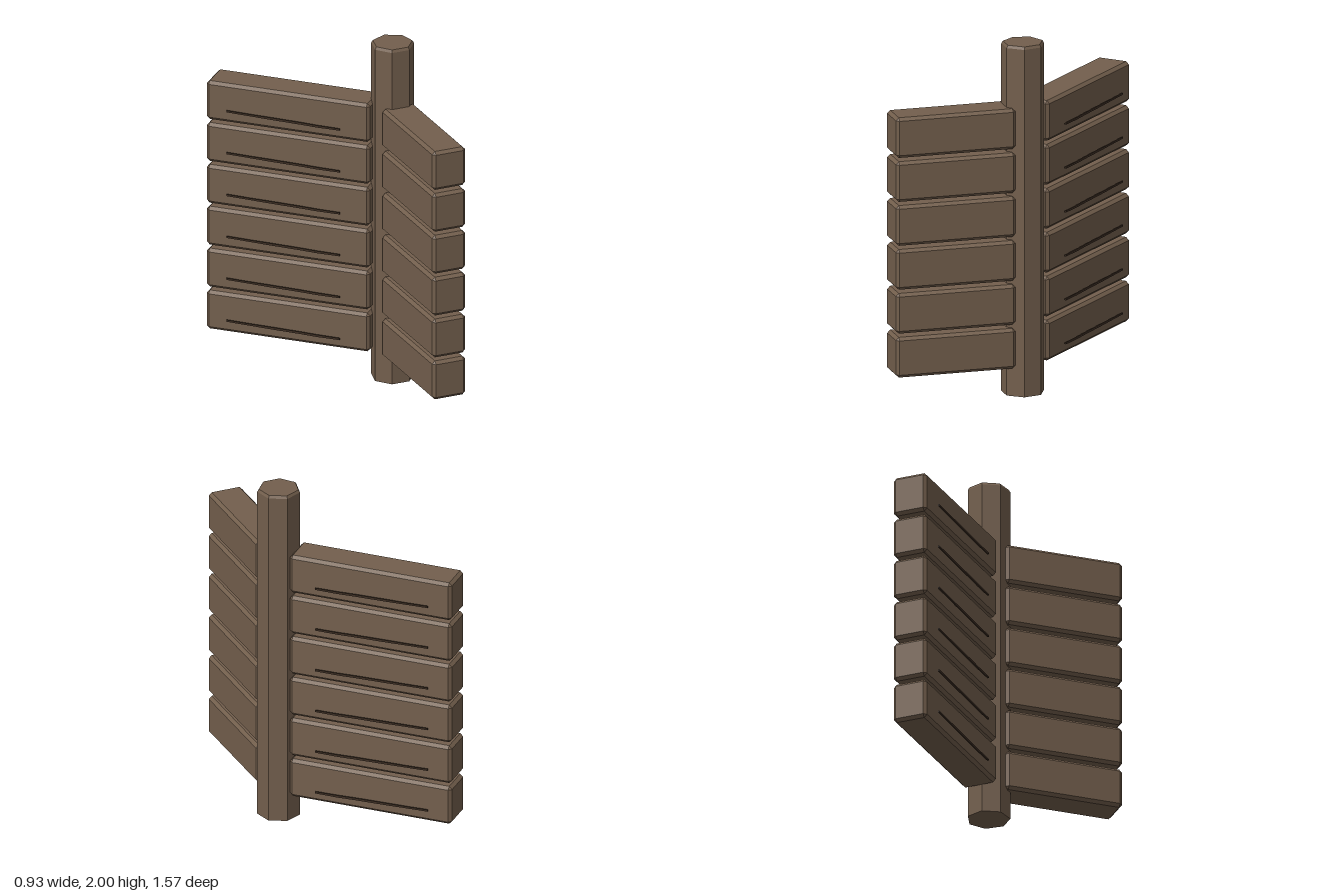
import * as THREE from 'three';
import { ConvexGeometry } from 'three/addons/geometries/ConvexGeometry.js';

const wood = new THREE.MeshStandardMaterial({ name: 'weathered wood', color: 0x735f4d });
const dark = new THREE.MeshStandardMaterial({ name: 'dark crack', color: 0x3f3025 });

// Box with every edge chamfered by c
function chamferBox(w, h, d, c) {
  const pts = [];
  for (const x of [-1, 1]) for (const y of [-1, 1]) for (const z of [-1, 1]) {
    const X = w / 2, Y = h / 2, Z = d / 2;
    pts.push(new THREE.Vector3(x * X, y * (Y - c), z * (Z - c)));
    pts.push(new THREE.Vector3(x * (X - c), y * Y, z * (Z - c)));
    pts.push(new THREE.Vector3(x * (X - c), y * (Y - c), z * Z));
  }
  return new ConvexGeometry(pts);
}

// Thin jagged sliver running along z
function crackGeometry() {
  const outline = [
    [0.333, 0.011], [0.2, 0.008], [0.09, 0.007], [-0.1, 0.004], [-0.2, 0.001], [-0.333, 0.000],
    [-0.333, -0.010], [-0.2, -0.011], [-0.1, -0.008], [0.09, -0.005], [0.2, -0.002], [0.333, 0.001],
  ].map(([x, y]) => new THREE.Vector2(x, y));
  const geo = new THREE.ExtrudeGeometry(new THREE.Shape(outline), { depth: 0.008, bevelEnabled: false });
  return geo.translate(0, 0, -0.004).rotateY(Math.PI / 2);
}

function addMesh(parent, name, geo, mat, x, y, z) {
  const mesh = new THREE.Mesh(geo, mat);
  mesh.name = name;
  mesh.position.set(x, y, z);
  parent.add(mesh);
}

export function createModel() {
  const model = new THREE.Group();
  model.name = 'cornerFence';

  // Seven-sided corner post with a chamfered top
  const profile = [[0, 0], [0.121, 0], [0.121, 1.985], [0.112, 2], [0, 2]].map(([r, y]) => new THREE.Vector2(r, y));
  const postGeo = new THREE.LatheGeometry(profile, 7, Math.PI).toNonIndexed();
  postGeo.computeVertexNormals();
  addMesh(model, 'cornerPost', postGeo, wood, 0.344, 0, 0.025);

  // Two walls of stacked beams
  const straightWall = new THREE.Group();
  straightWall.name = 'straightWall';
  straightWall.position.set(0.345, 0, 0.4375);
  const angledWall = new THREE.Group();
  angledWall.name = 'angledWall';
  angledWall.position.set(-0.065, 0, -0.388);
  angledWall.rotation.y = Math.PI / 4;
  model.add(straightWall, angledWall);

  const shortBeam = chamferBox(0.2, 0.23, 0.688, 0.017);
  const longBeam = chamferBox(0.2, 0.23, 0.96, 0.017);
  const crack = crackGeometry();
  for (let i = 0; i < 6; i++) {
    const y = 0.276 + i * 0.251;
    addMesh(straightWall, 'straightBeam', shortBeam, wood, 0, y, 0);
    addMesh(angledWall, 'angledBeam', longBeam, wood, 0, y, 0);
    // Cracks along both faces of the angled wall
    for (const side of [-1, 1]) addMesh(angledWall, 'crack', crack, dark, side * 0.12, y - 0.044, -0.018);
  }
  return model;
}
